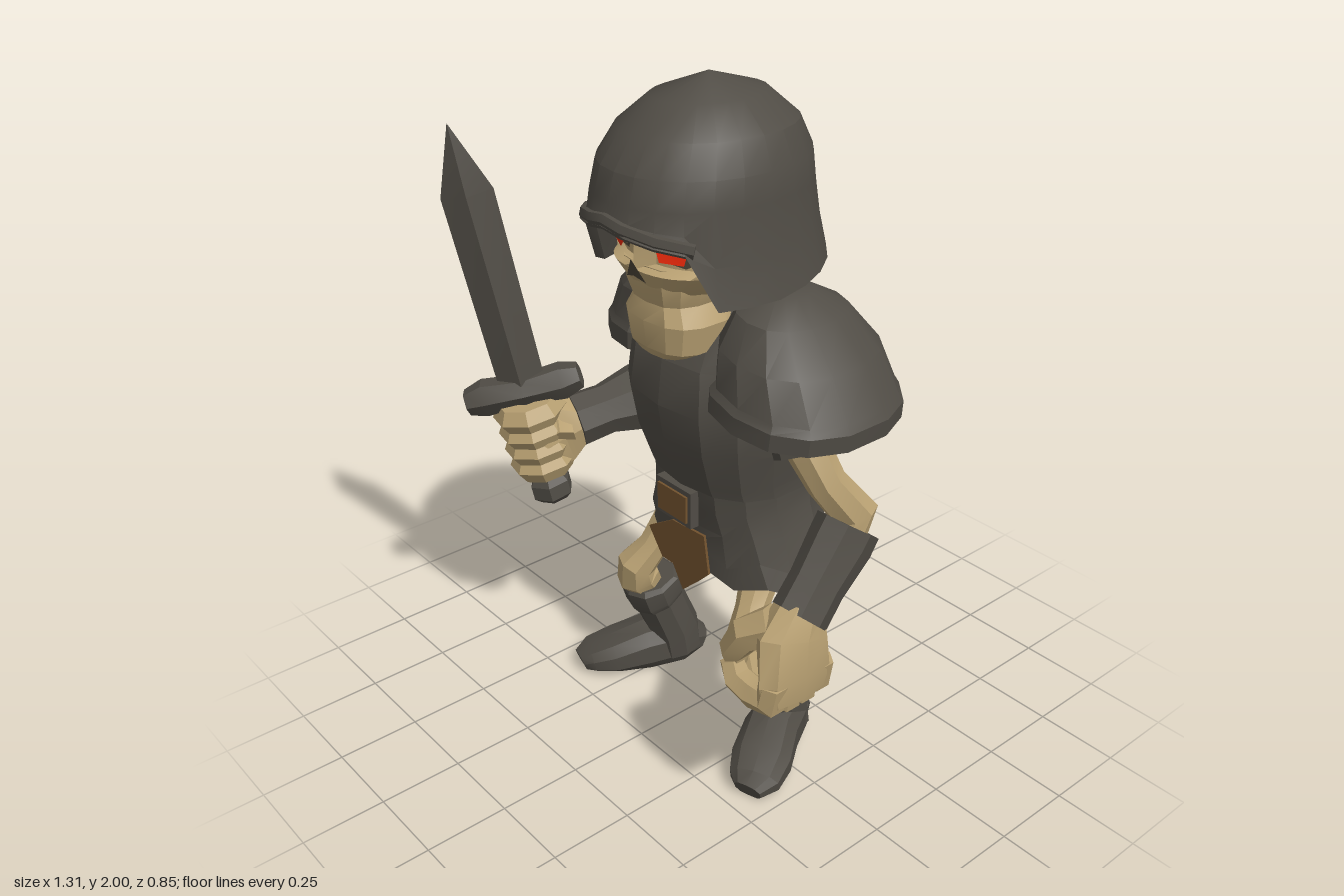
import * as THREE from 'three';
import { toCreasedNormals } from 'three/addons/utils/BufferGeometryUtils.js';

const V = (x, y, z) => new THREE.Vector3(x, y, z);
const colour = (name, color) => Object.assign(new THREE.MeshStandardMaterial({ color, side: THREE.DoubleSide }), { name });

// Joins rings of points into a surface, with optional end caps
function skin(rings, caps = true) {
  const n = rings[0].length, pos = [], idx = [];
  rings.forEach(r => r.forEach(p => pos.push(p.x, p.y, p.z)));
  for (let i = 0; i < rings.length - 1; i++) for (let j = 0; j < n; j++) {
    const k = (j + 1) % n, a = i * n + j, b = i * n + k, c = b + n, d = a + n;
    idx.push(a, b, c, a, c, d);
  }
  if (caps) [0, rings.length - 1].forEach((e, end) => {
    const m = rings[e].reduce((s, p) => s.add(p), V(0, 0, 0)).divideScalar(n), o = pos.length / 3;
    pos.push(m.x, m.y, m.z);
    for (let j = 0; j < n; j++) {
      const a = e * n + j, b = e * n + (j + 1) % n;
      if (end) idx.push(a, b, o); else idx.push(b, a, o);
    }
  });
  const g = new THREE.BufferGeometry();
  g.setAttribute('position', new THREE.Float32BufferAttribute(pos, 3));
  g.setIndex(idx);
  return g;
}
const round = (v, p) => Math.sign(v) * Math.pow(Math.abs(v), 2 / p);

// Level rings, bottom to top: [y, cx, cz, rx, rz]; y may depend on the angle from the front
function loft(rows, n = 14, p = 2.3, caps = true) {
  return skin(rows.map(([y, cx, cz, rx, rz]) => Array.from({ length: n }, (_, j) => {
    const a = j / n * Math.PI * 2;
    return V(cx + rx * round(Math.sin(a), p), typeof y === 'function' ? y(a) : y, cz + rz * round(Math.cos(a), p));
  })), caps);
}

// Rings square to a path: [x, y, z, radius, optional second radius]
function limb(pts, n = 8, p = 2) {
  const P = pts.map(q => V(q[0], q[1], q[2])), last = P.length - 1;
  const along = P[last].clone().sub(P[0]).normalize();
  const ref = Math.abs(along.z) > 0.7 ? V(0, 1, 0) : V(0, 0, 1);
  return skin(P.map((c, i) => {
    const T = P[Math.min(i + 1, last)].clone().sub(P[Math.max(i - 1, 0)]).normalize();
    const U = ref.clone().addScaledVector(T, -ref.dot(T)).normalize(), W = T.clone().cross(U);
    const [, , , ru, rv = ru] = pts[i];
    return Array.from({ length: n }, (_, j) => {
      const a = j / n * Math.PI * 2;
      return c.clone().addScaledVector(U, ru * round(Math.cos(a), p)).addScaledVector(W, rv * round(Math.sin(a), p));
    });
  }));
}

// Moves every vertex by a rule
function reshape(geo, rule) {
  const at = geo.attributes.position;
  for (let i = 0; i < at.count; i++) at.setXYZ(i, ...rule(V().fromBufferAttribute(at, i)).toArray());
  return geo;
}

export function createModel() {
  const iron = colour('dark iron', 0x504c45), bone = colour('bone', 0xb8a072), brown = colour('brown leather', 0x72522e);
  const red = colour('glowing red', 0xff2d0c), shade = colour('socket shade', 0x4a4336);
  const model = new THREE.Group();
  model.name = 'skeletonWarrior';
  const add = (name, geo, mat, parent = model) => {
    const m = new THREE.Mesh(toCreasedNormals(geo, 0.42), mat);
    m.name = name;
    parent.add(m);
    return m;
  };

  // Skull with sunken eye sockets, jaw and neck
  const skullShape = loft([
    [1.44, 0.02, 0.0, 0.1, 0.17], [1.47, 0.02, 0.01, 0.15, 0.21], [1.53, 0.02, 0.01, 0.205, 0.242],
    [1.545, 0.02, 0.01, 0.21, 0.242], [1.59, 0.02, 0.01, 0.215, 0.24], [1.645, 0.02, 0.01, 0.215, 0.245],
    [1.66, 0.02, 0.01, 0.215, 0.262], [1.69, 0.02, 0.01, 0.215, 0.268], [1.8, 0.02, 0.01, 0.17, 0.2]], 48, 2.5);
  const skull = add('skull', reshape(skullShape, v => {
    const d = Math.abs(v.x - 0.02);
    if (v.z > 0.1 && d > 0.035 && d < 0.17 && v.y > 1.54 && v.y < 1.65) v.z -= 0.04;
    return v;
  }), bone);
  const jaw = add('jaw', loft([
    [1.275, 0.02, 0.125, 0.085, 0.075], [1.3, 0.02, 0.11, 0.13, 0.105], [1.38, 0.02, 0.1, 0.145, 0.125],
    [1.43, 0.02, 0.09, 0.115, 0.125], [1.48, 0.02, 0.09, 0.135, 0.14], [1.54, 0.02, 0.09, 0.14, 0.145]], 14, 2.7), bone);
  add('neck', limb([[0.02, 1.3, -0.1, 0.08], [0.02, 1.42, -0.08, 0.075], [0.02, 1.52, -0.04, 0.1]]), bone);

  // Face details laid on the skull; tilt leans a plate upward
  model.updateMatrixWorld(true);
  const ray = new THREE.Raycaster();
  const decal = (name, pts, mat, lift, tilt = 0) => {
    const g = new THREE.ShapeGeometry(new THREE.Shape(pts.map(q => new THREE.Vector2(...q))));
    add(name, reshape(g, v => {
      ray.set(V(v.x, v.y, 1), V(0, 0, -1));
      v.z = ray.intersectObjects([skull, jaw])[0].point.z + lift + (1.65 - v.y) * tilt;
      return v;
    }), mat);
  };
  for (const s of [1, -1]) {
    const side = pts => pts.map(([x, y]) => [0.02 + s * x, y]);
    decal('eyeSocket', side([[0.05, 1.605], [0.07, 1.56], [0.13, 1.55], [0.16, 1.57], [0.16, 1.642], [0.1, 1.638]]), shade, 0.006);
    decal('eye', side([[0.058, 1.6], [0.078, 1.565], [0.14, 1.565], [0.152, 1.64], [0.1, 1.63]]), red, 0.012, 0.2);
  }
  decal('noseHole', [[-0.02, 1.5], [0.02, 1.512], [0.06, 1.5], [0.02, 1.56]], shade, 0.01);

  // Helmet with a raised face opening, and its brim
  const hem = a => {
    const d = Math.abs(a > Math.PI ? a - Math.PI * 2 : a) * 180 / Math.PI;
    return d < 50 ? 1.67 - d * 0.001 : 1.47 + Math.max(0, d - 90) / 90 * 0.06;
  };
  const rise = t => a => hem(a) + (1.72 - hem(a)) * t;
  add('helmet', loft([
    [rise(0.4), 0.025, 0.01, 0.24, 0.27], [rise(0), 0.025, 0.01, 0.27, 0.315], [rise(0.02), 0.025, 0.013, 0.292, 0.342],
    [rise(0.45), 0.025, 0.013, 0.266, 0.325], [1.725, 0.025, 0.02, 0.258, 0.31], [1.8, 0.025, 0.015, 0.25, 0.295],
    [1.88, 0.025, 0.005, 0.21, 0.25], [1.95, 0.022, 0.0, 0.13, 0.165], [2.0, 0.02, 0, 0, 0]], 24, 2.1, false), iron);
  add('helmetBrim', limb([-48, -30, -12, 0, 12, 30, 48].map(d => {
    const a = d * Math.PI / 180;
    return [0.025 + 0.29 * Math.sin(a), 1.682 - Math.abs(d) * 0.001, 0.012 + 0.332 * Math.cos(a), 0.014, 0.022];
  }), 6), iron);

  // Breastplate, belt and two layers of skirt
  add('breastplate', loft([
    [0.72, 0.03, -0.11, 0.235, 0.19], [0.82, 0.03, -0.105, 0.235, 0.205], [0.88, 0.028, -0.095, 0.24, 0.22],
    [1.0, 0.025, -0.08, 0.268, 0.245], [1.12, 0.025, -0.07, 0.285, 0.255], [1.25, 0.02, -0.07, 0.265, 0.235],
    [1.37, 0.02, -0.1, 0.22, 0.19], [1.43, 0.02, -0.13, 0.14, 0.12]], 14, 2.5), iron);
  const jag = (a, k) => Math.cos(a * 7) * k;
  add('upperSkirt', loft([
    [a => 0.635 + jag(a, 0.02), 0.03, -0.115, 0.295, 0.2], [0.72, 0.03, -0.11, 0.268, 0.2],
    [0.79, 0.03, -0.105, 0.245, 0.21], [0.85, 0.03, -0.1, 0.245, 0.212]], 14, 2.5, false), iron);
  const flap = a => Math.min(0.56 + jag(a, 0.015), 0.43 + Math.abs(Math.PI - a) * 0.17);
  add('lowerSkirt', loft([[flap, 0.035, -0.12, 0.315, 0.19], [0.68, 0.03, -0.11, 0.265, 0.185]], 14, 2.5, false), iron);
  add('buckleFrame', new THREE.BoxGeometry(0.15, 0.115, 0.03).translate(0.02, 0.79, 0.115), iron);
  add('buckle', new THREE.BoxGeometry(0.125, 0.085, 0.008).translate(0.02, 0.79, 0.133), brown);
  const cloth = new THREE.Shape([[-0.13, 0.63], [-0.07, 0.55], [-0.02, 0.55], [0.025, 0.48], [0.09, 0.54], [0.14, 0.59], [0.12, 0.71], [-0.02, 0.7]]
    .map(q => new THREE.Vector2(...q)));
  add('loincloth', new THREE.ExtrudeGeometry(cloth, { depth: 0.008, bevelEnabled: false }).translate(0, 0, 0.094), brown);

  // Shoulder guards: domes with a flared rim, the right one turned back
  const guard = (name, w, l, h, lean, p) => add(name, loft([
    [0.02, 0, 0, w * 0.85, l * 0.85], [0, 0, 0, w, l], [0.05, 0, 0, w, l * 0.99], [0.07, 0, 0, w * 0.93, l * 0.94],
    [h * 0.55, lean * 0.4, 0, w * 0.78, l * 0.86], [h * 0.83, lean * 0.8, 0, w * 0.5, l * 0.62],
    [h * 0.97, lean, 0, w * 0.22, l * 0.3], [h, lean, 0, 0, 0]], 14, p, false), iron);
  const guardL = guard('leftShoulderGuard', 0.24, 0.26, 0.31, -0.1, 2.3);
  guardL.position.set(0.33, 1.155, -0.07);
  guardL.rotation.z = -0.1;
  const guardR = guard('rightShoulderGuard', 0.205, 0.25, 0.3, 0.07, 2.7);
  guardR.position.set(-0.26, 1.15, -0.18);
  guardR.rotation.set(0, -0.4, 0.08);

  // Left arm with an open curled hand
  add('leftUpperArm', limb([[0.38, 1.28, 0.0, 0.07], [0.46, 1.13, 0.05, 0.062], [0.51, 1.03, 0.02, 0.055], [0.55, 0.93, -0.05, 0.065], [0.555, 0.87, -0.02, 0.05]]), bone);
  add('leftSleeve', limb([[0.38, 1.25, 0.02, 0.1], [0.46, 1.1, 0.04, 0.09]]), iron);
  add('leftGauntlet', limb([[0.55, 0.9, -0.03, 0.1, 0.08], [0.552, 0.86, 0.0, 0.1, 0.08], [0.56, 0.77, 0.09, 0.085, 0.072], [0.565, 0.7, 0.155, 0.085, 0.075]]), iron);
  const handL = new THREE.Group();
  handL.name = 'leftHand';
  add('palm', limb([[0.56, 0.73, 0.15, 0.065, 0.06], [0.575, 0.66, 0.19, 0.11, 0.065], [0.6, 0.56, 0.2, 0.125, 0.048], [0.595, 0.5, 0.2, 0.11, 0.045]], 8, 2.4), bone, handL);
  for (let i = 0; i < 4; i++) {
    const z = 0.115 + i * 0.055, up = i % 3 ? 0 : 0.012;
    add('finger', limb([[0.605, 0.57, z, 0.04], [0.595, 0.495 + up, z, 0.045], [0.53, 0.482 + up, z, 0.043], [0.465, 0.495 + up, z, 0.042], [0.442, 0.555, z, 0.034]], 6), bone, handL);
  }
  add('thumb', limb([[0.54, 0.69, 0.22, 0.06], [0.48, 0.65, 0.26, 0.052], [0.44, 0.58, 0.27, 0.042], [0.44, 0.53, 0.26, 0.03]], 6), bone, handL);
  model.add(handL);

  // Right arm
  add('rightUpperArm', limb([[-0.3, 1.25, -0.1, 0.07], [-0.34, 1.1, -0.1, 0.062], [-0.36, 1.0, -0.13, 0.055], [-0.39, 0.92, -0.16, 0.065], [-0.4, 0.88, -0.12, 0.05]]), bone);
  add('rightSleeve', limb([[-0.29, 1.24, -0.1, 0.1], [-0.33, 1.12, -0.1, 0.085]]), iron);
  add('rightGauntlet', limb([[-0.4, 0.9, -0.15, 0.105], [-0.4, 0.895, -0.09, 0.11], [-0.43, 0.88, 0.03, 0.08], [-0.46, 0.86, 0.12, 0.085]]), iron);

  // Sword and fist share one frame: y along the blade, x along the crossguard
  const sword = new THREE.Group();
  sword.name = 'sword';
  const Y = V(-0.1, 0.98, 0.165).normalize(), X = V(-0.59, -0.18, 0.79);
  X.addScaledVector(Y, -X.dot(Y)).normalize();
  sword.applyMatrix4(new THREE.Matrix4().makeBasis(X, Y, X.clone().cross(Y)).setPosition(-0.53, 0.98, 0.255));
  add('blade', loft([[0, 0, 0, 0.07, 0.036], [0.63, 0, 0, 0.076, 0.036], [0.835, 0, 0, 0, 0]], 4, 2), iron, sword);
  add('crossguard', limb([[-0.175, 0.012, 0, 0.042, 0.04], [-0.12, 0.005, 0, 0.055, 0.058], [0, 0, 0, 0.055, 0.045], [0.12, 0.0, 0, 0.055, 0.058], [0.175, -0.005, 0, 0.042, 0.04]], 6), iron, sword);
  add('grip', new THREE.CylinderGeometry(0.032, 0.032, 0.34, 8).translate(0, -0.17, 0), iron, sword);
  add('pommel', loft([[-0.385, 0, 0, 0.045, 0.045], [-0.365, 0, 0, 0.066, 0.066], [-0.32, 0, 0, 0.066, 0.066], [-0.28, 0, 0, 0.04, 0.04]], 6, 2), iron, sword);
  for (let i = 0; i < 4; i++)
    add('finger', new THREE.TorusGeometry(0.068 - i * 0.003, 0.046, 6, 8).rotateX(Math.PI / 2).translate(0, -0.07 - i * 0.058, 0), bone, sword);
  add('thumb', limb([[-0.08, -0.16, -0.06, 0.045], [-0.07, -0.08, 0.06, 0.048], [0.03, -0.06, 0.1, 0.034]], 6), bone, sword);
  add('rightPalm', limb([[-0.45, 0.86, 0.1, 0.07], [-0.49, 0.84, 0.15, 0.125, 0.085], [-0.515, 0.82, 0.22, 0.13, 0.095], [-0.525, 0.82, 0.26, 0.11, 0.08]], 8, 2.4), bone);
  model.add(sword);

  // Legs and boots, toes turned outward
  for (const s of [1, -1]) {
    const name = s > 0 ? 'left' : 'right';
    const at = pts => pts.map(([x, ...rest]) => [0.012 + s * x, ...rest]);
    add(name + 'Leg', limb(at([[0.17, 0.7, -0.1, 0.07], [0.2, 0.58, -0.04, 0.06], [0.225, 0.49, 0.02, 0.048], [0.255, 0.425, 0.065, 0.062],
      [0.265, 0.375, 0.055, 0.068], [0.27, 0.3, 0.0, 0.045]])), bone);
    add(name + 'Boot', limb(at([[0.255, 0.05, -0.09, 0.08], [0.255, 0.13, -0.075, 0.082], [0.262, 0.22, -0.04, 0.08], [0.27, 0.3, -0.01, 0.082]]), 9, 2.3), iron);
    add(name + 'BootCuff', limb(at([[0.264, 0.26, -0.02, 0.083], [0.266, 0.28, -0.012, 0.092], [0.268, 0.335, 0.005, 0.092], [0.268, 0.348, 0.008, 0.08]]), 9, 2.3), iron);
    const foot = limb(at([[0.235, 0.05, -0.17, 0.045, 0.045], [0.25, 0.075, -0.11, 0.085, 0.075], [0.3, 0.07, 0.0, 0.085, 0.085],
      [0.355, 0.05, 0.09, 0.062, 0.092], [0.395, 0.038, 0.155, 0.042, 0.078], [0.405, 0.025, 0.19, 0.028, 0.045]]), 10, 2.4);
    add(name + 'Foot', reshape(foot, v => v.setY(Math.max(0, v.y))), iron);
  }
  return model;
}
